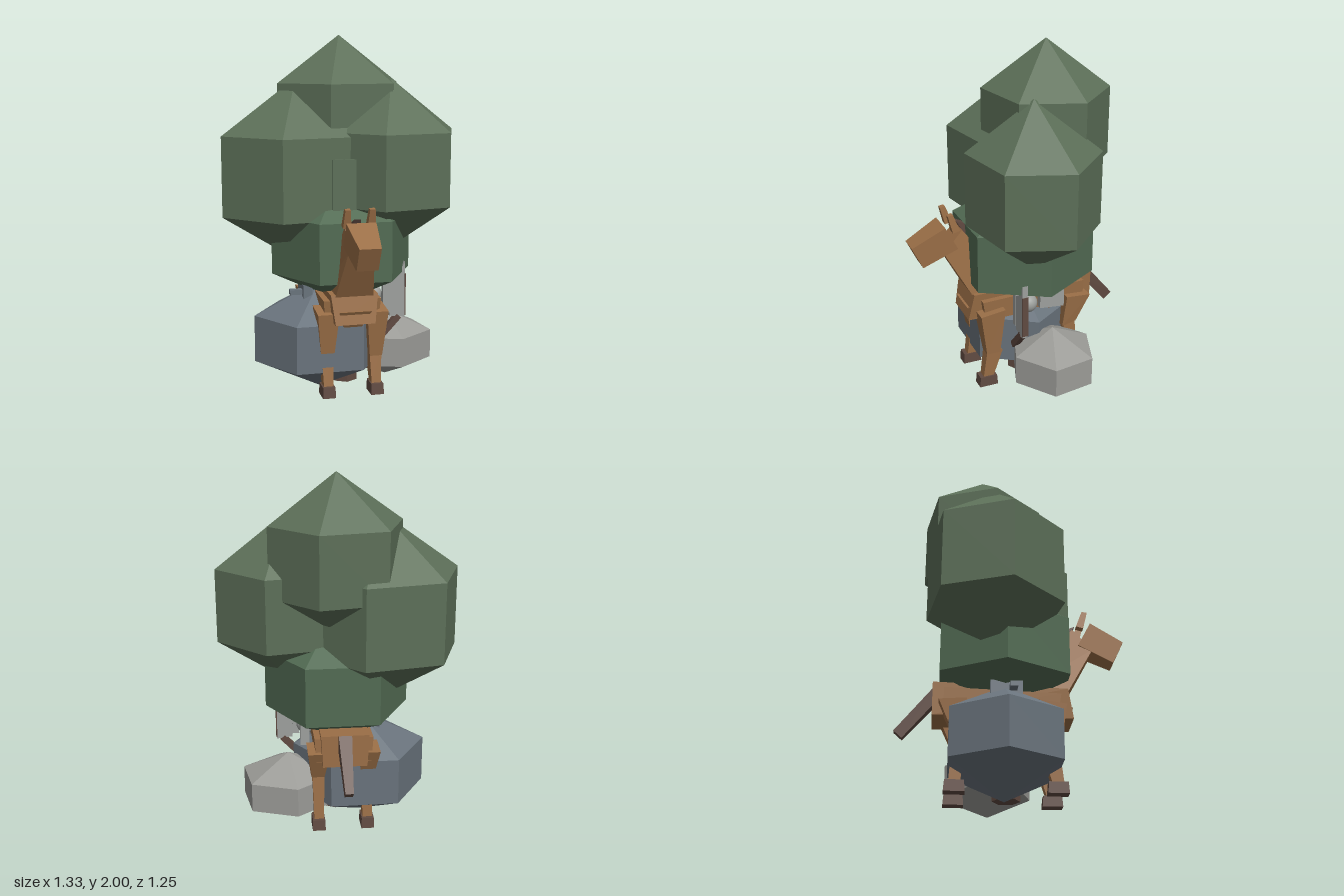
import * as THREE from 'three';

const paint = (name, color) => {
  const m = new THREE.MeshStandardMaterial({ color });
  m.name = name;
  return m;
};

export function createModel() {
  const group = new THREE.Group();
  const leaf = paint('leaf green', 0x5c6f58);
  const lowLeaf = paint('lower leaf green', 0x526b53);
  const coat = paint('brown coat', 0x9b6f47);
  const dark = paint('dark brown', 0x604a41);
  const slate = paint('slate', 0x69737c);
  const stone = paint('pale stone', 0x9b9b97);
  const metal = paint('metal', 0x9da09d);

  const add = (name, geometry, material) => {
    const mesh = new THREE.Mesh(geometry, material);
    mesh.name = name;
    group.add(mesh);
    return mesh;
  };
  const facet = (g) => {
    const flat = g.index ? g.toNonIndexed() : g;
    flat.computeVertexNormals();
    return flat;
  };

  // Six-sided lump: apex, two equal rings, lower apex; ys from top to bottom
  const lump = (name, mat, cx, cz, rx, rz, phase, ys) => {
    const g = new THREE.SphereGeometry(1, 6, 3);
    const p = g.attributes.position;
    for (let i = 0; i < p.count; i++) {
      const row = Math.floor(i / 7);
      const a = phase + (i % 7) * Math.PI / 3;
      const r = row === 0 || row === 3 ? 0 : 1;
      p.setXYZ(i, cx + r * rx * Math.cos(a), ys[row], cz - r * rz * Math.sin(a));
    }
    // rings run against the default direction, so swap corners
    const idx = g.index.array;
    const a = new THREE.Vector3(), b = new THREE.Vector3(), c = new THREE.Vector3();
    const mid = new THREE.Vector3(cx, (ys[1] + ys[2]) / 2, cz);
    for (let i = 0; i < idx.length; i += 3) {
      a.fromBufferAttribute(p, idx[i]).sub(mid);
      b.fromBufferAttribute(p, idx[i + 1]).sub(mid);
      c.fromBufferAttribute(p, idx[i + 2]).sub(mid);
      if (a.dot(b.clone().cross(c)) < 0) [idx[i + 1], idx[i + 2]] = [idx[i + 2], idx[i + 1]];
    }
    return add(name, facet(g), mat);
  };

  // Block from a four-corner side profile of [z, y, half width]:
  // front top, front bottom, back bottom, back top
  const block = (name, mat, profile, cx = 0) => {
    const g = new THREE.BoxGeometry(1, 1, 1);
    const p = g.attributes.position;
    for (let i = 0; i < p.count; i++) {
      const top = p.getY(i) > 0, front = p.getZ(i) > 0;
      const [z, y, w] = profile[front ? (top ? 0 : 1) : (top ? 3 : 2)];
      p.setXYZ(i, cx + Math.sign(p.getX(i)) * w, y, z);
    }
    return add(name, facet(g), mat);
  };

  // Tree crown
  lump('topCrown', leaf, 0.022, -0.165, 0.37, 0.345, 0.2, [2.0, 1.735, 1.355, 1.11]);
  lump('rightCrown', leaf, -0.2375, -0.1025, 0.435, 0.386, 0.2, [1.765, 1.455, 1.01, 0.735]);
  lump('leftCrown', leaf, 0.28, 0.015, 0.39, 0.356, 0.2, [1.76, 1.475, 1.07, 0.81]);
  lump('lowerCrown', lowLeaf, 0.008, -0.04, 0.4, 0.4, 0, [1.24, 1.01, 0.68, 0.49]);
  block('innerCrown', leaf, [[0.222, 1.34, 0.07], [0.222, 0.95, 0.07], [0, 0.95, 0.07], [0, 1.34, 0.07]], -0.03);

  // Trunk
  const trunk = new THREE.CylinderGeometry(0.05, 0.075, 1.2, 6);
  trunk.translate(0.02, 0.64, -0.02);
  add('trunk', facet(trunk), dark);

  // Rocks
  lump('largeRock', slate, -0.12, -0.04, 0.375, 0.335, 0, [0.625, 0.44, 0.175, 0]);
  lump('smallRock', stone, 0.29, -0.105, 0.27, 0.24, -0.38, [0.415, 0.295, 0.13, 0.02]);

  // Horse body, neck and head
  block('body', coat, [[0.3, 0.62, 0.13], [0.33, 0.46, 0.11], [-0.42, 0.46, 0.12], [-0.42, 0.64, 0.13]]);
  block('belly', coat, [[0.26, 0.58, 0.16], [0.24, 0.46, 0.15], [-0.36, 0.46, 0.15], [-0.36, 0.6, 0.16]]);
  block('chest', coat, [[0.33, 0.53, 0.09], [0.27, 0.43, 0.05], [0.1, 0.43, 0.05], [0.1, 0.53, 0.09]]);
  block('neck', coat, [[0.45, 0.88, 0.07], [0.28, 0.57, 0.11], [0.04, 0.6, 0.11], [0.34, 1.0, 0.065]]);
  block('head', coat, [[0.625, 0.935, 0.058], [0.565, 0.81, 0.058], [0.37, 0.9, 0.08], [0.44, 1.035, 0.08]]);
  block('mane', dark, [[0.36, 1.04, 0.02], [0.2, 0.76, 0.025], [0.14, 0.78, 0.025], [0.315, 1.02, 0.02]]);
  block('tail', dark, [[-0.42, 0.64, 0.036], [-0.42, 0.54, 0.036], [-0.575, 0.36, 0.022], [-0.62, 0.4, 0.022]]
    .sort(() => 0), 0);

  // Ears and legs, mirrored
  for (const s of [-1, 1]) {
    const side = s > 0 ? 'left' : 'right';
    block(side + 'Ear', coat, [[0.425, 1.1, 0.015], [0.4, 1.0, 0.022], [0.36, 1.01, 0.022], [0.395, 1.105, 0.015]], s * 0.066);
    block(side + 'FrontUpperLeg', coat, [[0.285, 0.51, 0.06], [0.245, 0.25, 0.035], [0.165, 0.25, 0.035], [0.14, 0.53, 0.06]], s * 0.137);
    block(side + 'FrontLowerLeg', coat, [[0.235, 0.32, 0.036], [0.265, 0.09, 0.026], [0.205, 0.09, 0.026], [0.15, 0.26, 0.036]], s * 0.135);
    block(side + 'FrontHoof', dark, [[0.285, 0.1, 0.034], [0.29, 0.04, 0.036], [0.18, 0.04, 0.036], [0.185, 0.1, 0.034]], s * 0.136);
    block(side + 'Thigh', coat, [[-0.24, 0.53, 0.06], [-0.225, 0.33, 0.035], [-0.31, 0.35, 0.035], [-0.385, 0.52, 0.06]], s * 0.137);
    block(side + 'BackLowerLeg', coat, [[-0.228, 0.37, 0.034], [-0.265, 0.09, 0.026], [-0.325, 0.09, 0.026], [-0.305, 0.37, 0.034]], s * 0.135);
    block(side + 'BackHoof', dark, [[-0.245, 0.1, 0.034], [-0.24, 0.04, 0.036], [-0.35, 0.04, 0.036], [-0.345, 0.1, 0.034]], s * 0.136);
  }

  // Axe at the horse's left side
  const blade = new THREE.Shape([[0.255, 0.43], [0.345, 0.42], [0.345, 0.74], [0.305, 0.67], [0.255, 0.64]]
    .map(([x, y]) => new THREE.Vector2(x, y)));
  const bladeGeo = new THREE.ExtrudeGeometry(blade, { depth: 0.03, bevelEnabled: false });
  bladeGeo.translate(0, 0, 0.072);
  add('axeBlade', bladeGeo, metal);
  block('axeBack', metal, [[0.105, 0.67, 0.02], [0.105, 0.45, 0.02], [0.07, 0.45, 0.02], [0.07, 0.67, 0.02]], 0.235);
  block('axeEdge', dark, [[0.105, 0.67, 0.003], [0.105, 0.43, 0.003], [0.068, 0.43, 0.003], [0.068, 0.67, 0.003]], 0.346);
  const handle = new THREE.BoxGeometry(0.035, 0.18, 0.035);
  const handleMesh = add('axeHandle', handle, dark);
  handleMesh.position.set(0.25, 0.36, 0.085);
  handleMesh.rotation.z = -0.75;

  // Metal tool slung across the back
  const knob = new THREE.SphereGeometry(0.055, 20, 14);
  knob.translate(0.18, 0.54, 0);
  add('toolKnob', knob, metal);
  block('toolHead', metal, [[-0.06, 0.58, 0.02], [-0.06, 0.51, 0.02], [-0.205, 0.5, 0.025], [-0.205, 0.635, 0.025]], 0.2);
  block('toolBar', slate, [[0.02, 0.59, 0.06], [0.02, 0.562, 0.06], [-0.02, 0.562, 0.06], [-0.02, 0.59, 0.06]], -0.24);
  block('toolPlate', slate, [[0.05, 0.62, 0.025], [0.05, 0.54, 0.025], [-0.12, 0.54, 0.025], [-0.12, 0.62, 0.025]], -0.205);

  return group;
}
